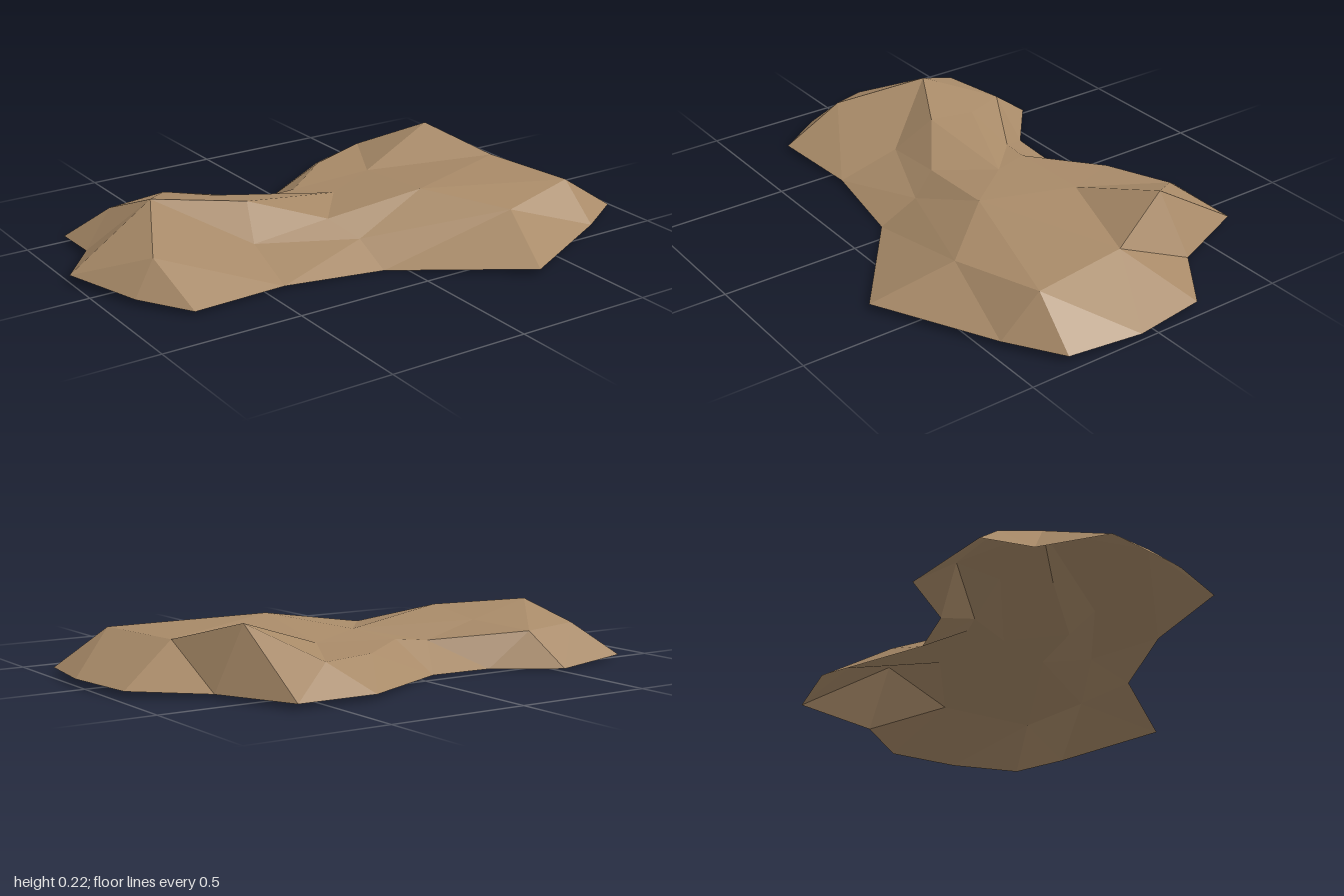
import * as THREE from 'three';

// Ground outline of the mound, counter-clockwise seen from above
const outline = [
  [-1, 0.03, -0.15], [-0.9, 0.02, 0.13], [-0.78, 0.015, 0.31], [-0.43, 0.01, 0.285], [-0.07, 0.002, 0.345],
  [0.35, 0.02, 0.665], [0.77, 0.02, 0.45], [0.96, 0.022, 0.33], [1, 0.025, 0.07], [0.96, 0.022, -0.2],
  [0.73, 0.015, -0.37], [0.61, 0.02, -0.67], [0.32, 0.02, -0.675], [-0.08, 0.004, -0.435], [-0.31, 0.005, -0.45],
  [-0.51, 0.01, -0.615], [-0.85, 0.015, -0.52], [-0.85, 0.02, -0.34],
];

// Raised points: shoulders, ridge and hollow
const P = {
  westPeak: [-0.65, 0.203, -0.23], westShoulder: [-0.8, 0.122, 0.07], westSlope: [-0.41, 0.08, 0.06],
  midSlope: [-0.07, 0.07, 0.2], southShoulder: [0.44, 0.13, 0.39], eastShoulder: [0.77, 0.15, 0.3],
  eastRidge: [0.72, 0.15, -0.07], eastPeak: [0.605, 0.227, -0.34], northEast: [0.43, 0.115, -0.55],
  north: [0.19, 0.108, -0.46], saddleNorth: [-0.05, 0.108, -0.26], saddleWest: [-0.17, 0.096, -0.28],
  northWest: [-0.48, 0.125, -0.46], farWest: [-0.72, 0.13, -0.41],
  ridgeWest: [-0.36, 0.185, -0.07], ridgeLow: [-0.13, 0.122, 0.09], ridgeEast: [0.23, 0.175, 0.14],
  topEast: [0.27, 0.122, -0.25], topMid: [0.02, 0.13, -0.1], topWest: [-0.38, 0.15, -0.27],
};
const row = (names) => names.split(' ').map((n) => P[n]);
const dist = (a, b) => Math.hypot(a[0] - b[0], a[2] - b[2]);

// Fills the band between two rows of points, always taking the shorter diagonal
function bridge(a, b) {
  const tris = [];
  let i = 0, j = 0;
  while (i < a.length - 1 || j < b.length - 1) {
    const stepA = i < a.length - 1 ? dist(a[i + 1], b[j]) : Infinity;
    const stepB = j < b.length - 1 ? dist(a[i], b[j + 1]) : Infinity;
    if (stepA < stepB) tris.push(a[i], a[++i], b[j]);
    else tris.push(a[i], b[j + 1], b[j++]);
  }
  return tris;
}

function shell(name, material, ...bands) {
  const geometry = new THREE.BufferGeometry();
  geometry.setAttribute('position', new THREE.Float32BufferAttribute(bands.flat(2), 3));
  geometry.computeVertexNormals();
  const mesh = new THREE.Mesh(geometry, material);
  mesh.name = name;
  return mesh;
}

export function createModel() {
  const earth = new THREE.MeshStandardMaterial({ color: 0xa88a68, flatShading: true, side: THREE.DoubleSide });
  earth.name = 'earth brown';

  // Sloping sides from the ground up to the shoulders
  const shoulders = row('westPeak westShoulder westSlope midSlope southShoulder eastShoulder eastRidge eastPeak northEast north saddleNorth saddleWest northWest farWest westPeak');
  const slopes = shell('slopes', earth, bridge([...outline, outline[0]], shoulders));

  // Upper surface, row by row from front to back, then the east end
  const ridge = row('westPeak ridgeWest ridgeLow ridgeEast');
  const crown = shell('crown', earth,
    bridge(row('westShoulder westSlope midSlope southShoulder'), ridge),
    bridge(ridge, row('topWest topMid topEast')),
    bridge(row('westPeak topWest topMid topEast'), row('farWest northWest saddleWest saddleNorth north northEast eastPeak')),
    bridge(row('southShoulder eastShoulder eastRidge eastPeak'), row('ridgeEast topEast')));

  const mound = new THREE.Group();
  mound.name = 'earthMound';
  mound.add(slopes, crown);
  return mound;
}
